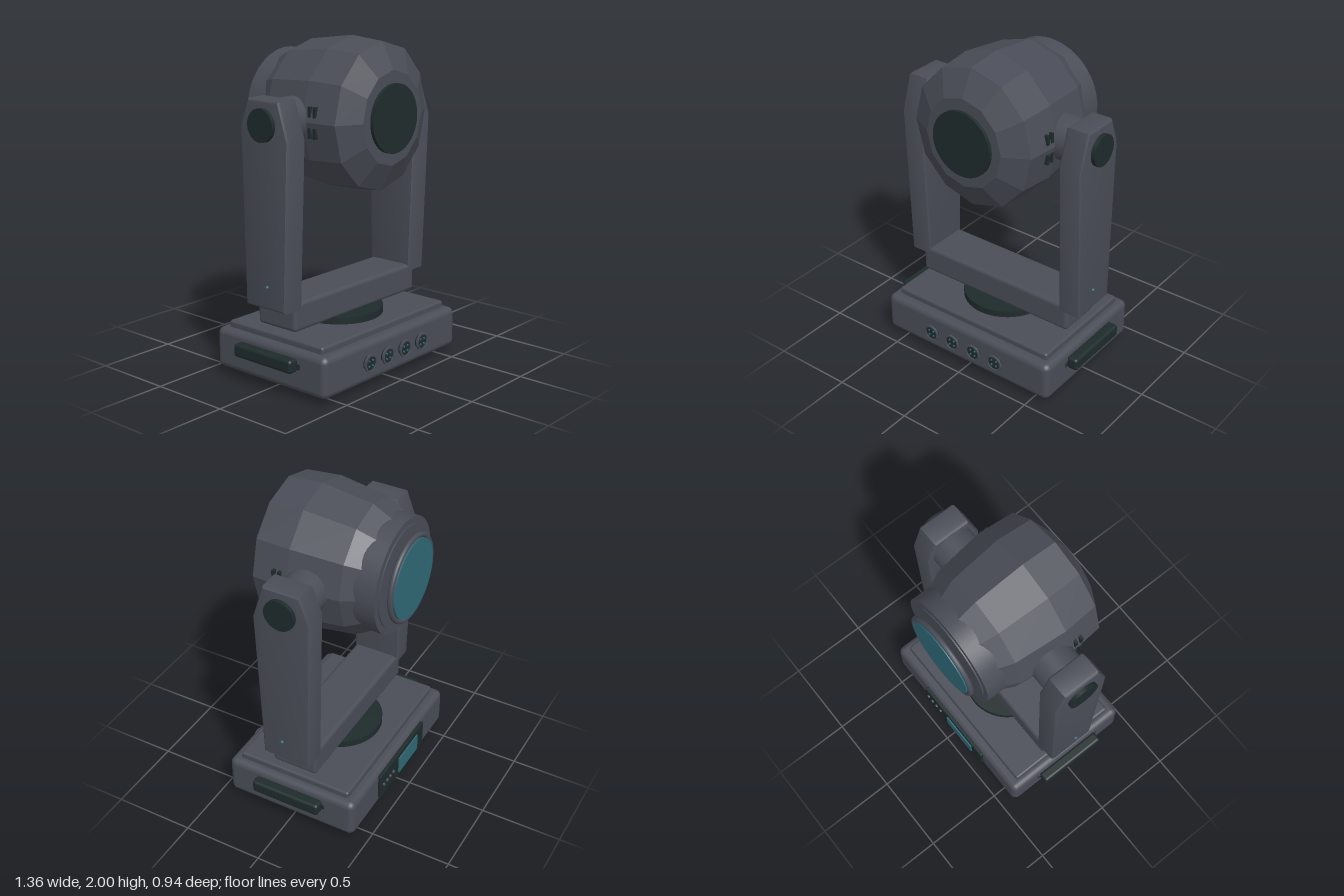
import * as THREE from 'three';
import { RoundedBoxGeometry } from 'three/addons/geometries/RoundedBoxGeometry.js';
import { toCreasedNormals } from 'three/addons/utils/BufferGeometryUtils.js';

export function createModel() {
  const model = new THREE.Group();
  model.name = 'movingHeadLight';

  const material = (name, color, extra = {}) => {
    const m = new THREE.MeshStandardMaterial({ color, ...extra });
    m.name = name;
    return m;
  };
  const grey = material('housing grey', 0x4a4d57);
  const greyFlat = material('housing grey faceted', 0x4a4d57, { flatShading: true });
  const dark = material('dark rubber', 0x1f2b2b);
  const teal = material('teal glass', 0x2f6977);

  const add = (name, geometry, mat, x = 0, y = 0, z = 0, parent = model) => {
    const mesh = new THREE.Mesh(geometry, mat);
    mesh.name = name;
    mesh.position.set(x, y, z);
    parent.add(mesh);
    return mesh;
  };
  const box = (w, h, d, r) => new RoundedBoxGeometry(w, h, d, 3, r);
  const discZ = (r, depth, r2 = r, n = 40) => new THREE.CylinderGeometry(r, r2, depth, n).rotateX(Math.PI / 2);
  const discX = (r, depth) => new THREE.CylinderGeometry(r, r, depth, 40).rotateZ(Math.PI / 2);

  // Base with raised lid, turntable and feet
  const Z = 0.007;
  add('baseHousing', box(1.23, 0.25, 0.86, 0.04), grey, 0, 0.16, Z);
  add('baseLid', box(1.13, 0.08, 0.74, 0.015), grey, 0, 0.285, Z);
  add('turntable', new THREE.CylinderGeometry(0.27, 0.27, 0.045, 48), dark, 0, 0.345, Z);
  for (const x of [-0.47, 0.47])
    for (const z of [-0.285, 0.3])
      add('foot', new THREE.CylinderGeometry(0.058, 0.058, 0.05, 24), dark, x, 0.025, z);

  // Front sockets: flanged ring, recessed face and pins
  const collar = [[0.042, 0], [0.042, 0.012], [0.054, 0.022], [0.054, 0.034], [0.043, 0.034], [0.043, 0.02]]
    .map(([r, h]) => new THREE.Vector2(r, h));
  for (const x of [-0.243, -0.081, 0.081, 0.243]) {
    const socket = new THREE.Group();
    socket.name = 'socket';
    socket.position.set(x, 0.165, 0.434);
    const ring = new THREE.LatheGeometry(collar, 28).rotateX(Math.PI / 2);
    add('socketCollar', toCreasedNormals(ring, 0.5), grey, 0, 0, 0, socket);
    add('socketFace', discZ(0.043, 0.02), dark, 0, 0, 0.016, socket);
    for (let i = 0; i < 4; i++) {
      const a = Math.PI / 4 + i * Math.PI / 2;
      add('socketPin', discZ(0.006, 0.008, 0.006, 10), teal, 0.023 * Math.cos(a), 0.023 * Math.sin(a), 0.028, socket);
    }
    model.add(socket);
  }

  // Rear control panel
  add('controlPanel', box(0.58, 0.175, 0.024, 0.004), dark, 0, 0.173, -0.43);
  add('displayScreen', new THREE.BoxGeometry(0.25, 0.115, 0.009), teal, -0.07, 0.17, -0.446);
  for (let i = 0; i < 4; i++)
    add('panelButton', discZ(0.011, 0.012, 0.011, 12), grey, 0.13 + i * 0.042, 0.18, -0.446);

  // Yoke crossbar
  add('yokeCrossbar', box(1.1, 0.175, 0.295, 0.025), grey, 0, 0.4425, 0.009);

  // Yoke arm outline, drawn as [-z, y]
  const outline = new THREE.Shape([
    [-0.16, 0.49], [0.145, 0.49], [0.168, 1.53], [0.108, 1.69], [-0.125, 1.69], [-0.195, 1.47],
  ].map(([u, y]) => new THREE.Vector2(u, y)));
  const armGeometry = toCreasedNormals(new THREE.ExtrudeGeometry(outline, {
    depth: 0.11, bevelEnabled: true, bevelThickness: 0.02, bevelSize: 0.02, bevelOffset: -0.02, bevelSegments: 3,
  }).translate(0, 0, -0.055).rotateY(Math.PI / 2), 0.5);

  // Arms, pivots, handles and vents on both sides
  for (const s of [-1, 1]) {
    add('yokeArm', armGeometry, grey, s * 0.565, 0, 0);
    add('pivotCap', discX(0.095, 0.04), dark, s * 0.645, 1.55, 0.01);
    add('pivotHub', discX(0.133, 0.18), grey, s * 0.42, 1.55, 0.003);
    add('indicatorLight', new THREE.SphereGeometry(0.011, 12, 8), teal, s * 0.643, 0.625, 0.03);
    add('handle', box(0.07, 0.08, 0.45, 0.018), dark, s * 0.645, 0.203, 0.008);
    add('handlePlate', box(0.012, 0.035, 0.48, 0.004), dark, s * 0.615, 0.195, 0.01);
    for (const y of [1.49, 1.61])
      for (const z of [0.152, 0.19])
        add('ventSlot', new THREE.BoxGeometry(0.03, 0.06, 0.018), dark, s * 0.407, y, z);
  }

  // Lamp head: twelve-sided shell, slightly narrow across x
  const head = new THREE.Group();
  head.name = 'lampHead';
  head.position.y = 1.55;
  model.add(head);
  const profile = [[0, -0.33], [0.34, -0.33], [0.408, -0.205], [0.45, 0.11], [0.43, 0.33], [0.275, 0.41], [0, 0.41]]
    .map(([r, z]) => new THREE.Vector2(r, z));
  const shell = new THREE.LatheGeometry(profile, 12).rotateX(Math.PI / 2).scale(0.95, 1, 1);
  add('headShell', shell, greyFlat, 0, 0, 0, head);
  add('headEndCap', discZ(0.2, 0.04), dark, 0, 0, 0.411, head);

  // Lens barrel, step, floating rim and glass
  add('lensBarrel', discZ(0.346, 0.2, 0.346, 56), grey, 0, 0, -0.3, head);
  add('lensStep', discZ(0.306, 0.02, 0.306, 56), grey, 0, 0, -0.398, head);
  add('lensRim', new THREE.TorusGeometry(0.252, 0.016, 12, 56), grey, 0, 0, -0.447, head);
  add('lensGlass', discZ(0.238, 0.022, 0.238, 56), teal, 0, 0, -0.456, head);

  return model;
}
